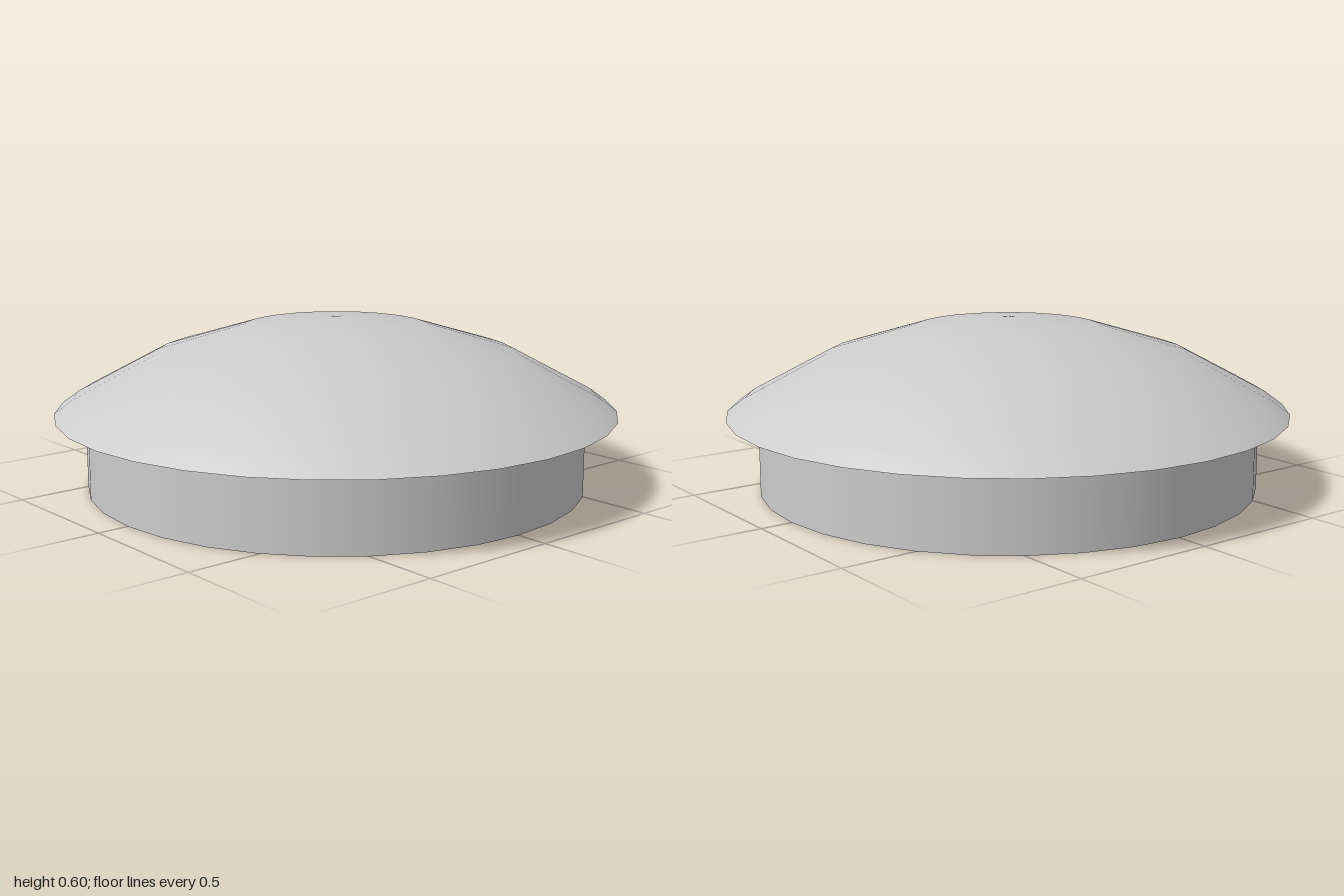
import * as THREE from 'three';

const SIDES = 32;
const BASE_RADIUS = 0.89;
const RIM_Y = 0.27;
const TOP_Y = 0.6;
const DOME_RADIUS = 1.69;

export function createModel() {
  const group = new THREE.Group();
  group.name = 'domedCap';
  const material = new THREE.MeshStandardMaterial({ color: 0xcccccc });

  const add = (name, geometry) => {
    const mesh = new THREE.Mesh(geometry, material);
    mesh.name = name;
    group.add(mesh);
    return mesh;
  };

  // Shallow spherical cap: three full rings of a coarse sphere, then the cut rim
  const profile = [new THREE.Vector2(1, RIM_Y)];
  for (let i = 3; i >= 0; i--) {
    const a = (i * Math.PI) / 16;
    profile.push(new THREE.Vector2(
      DOME_RADIUS * Math.sin(a),
      TOP_Y - DOME_RADIUS * (1 - Math.cos(a))
    ));
  }
  const domeGeometry = new THREE.LatheGeometry(profile, SIDES);
  // True sphere normals keep the dome smooth right up to the apex
  const pos = domeGeometry.attributes.position;
  const n = new THREE.Vector3();
  for (let i = 0; i < pos.count; i++) {
    n.fromBufferAttribute(pos, i);
    n.y -= TOP_Y - DOME_RADIUS;
    n.normalize();
    domeGeometry.attributes.normal.setXYZ(i, n.x, n.y, n.z);
  }
  add('dome', domeGeometry);

  // Flat underside of the overhanging rim
  const underside = new THREE.CircleGeometry(1, SIDES);
  underside.rotateX(Math.PI / 2);
  add('rimUnderside', underside).position.y = RIM_Y;

  // Straight plug below the dome, closed at the bottom
  const plug = new THREE.CylinderGeometry(BASE_RADIUS, BASE_RADIUS, RIM_Y, SIDES);
  add('base', plug).position.y = RIM_Y / 2;

  return group;
}
